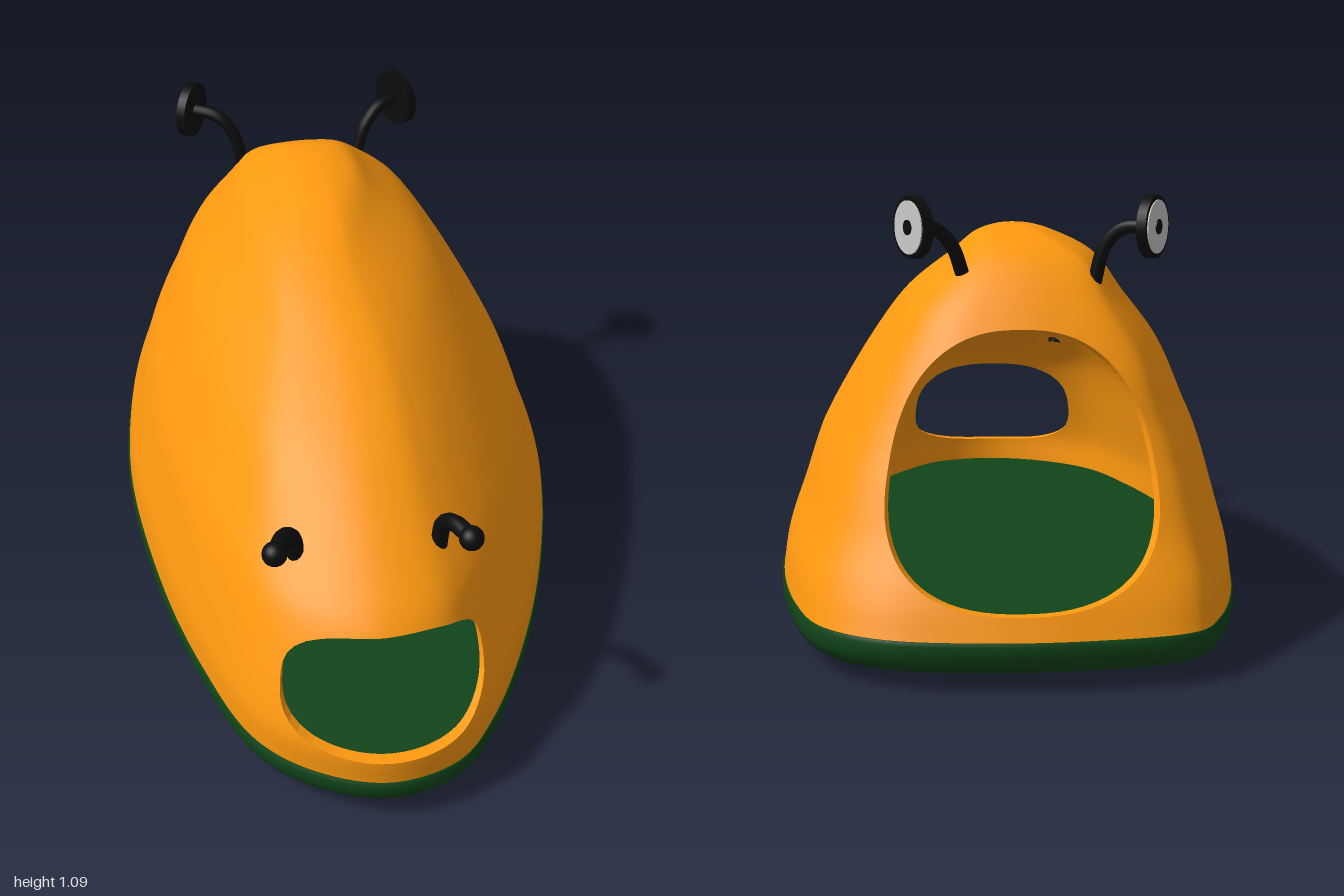
import * as THREE from 'three';
import { mergeVertices } from 'three/addons/utils/BufferGeometryUtils.js';

const V = (x, y, z) => new THREE.Vector3(x, y, z);
const mat = (color, side = THREE.FrontSide) => new THREE.MeshStandardMaterial({ color, side });

// Footprint outline (x, z), heel at -x -z, toe at +x +z
const footprint = new THREE.CatmullRomCurve3([
  [-1, -0.06], [-0.93, -0.32], [-0.8, -0.56], [-0.66, -0.72], [-0.5, -0.78], [-0.29, -0.74],
  [0.03, -0.61], [0.3, -0.45], [0.57, -0.21], [0.78, 0.03], [0.94, 0.27], [1, 0.43],
  [0.96, 0.6], [0.83, 0.72], [0.65, 0.78], [0.35, 0.74], [0.03, 0.65], [-0.4, 0.47],
  [-0.72, 0.26], [-0.93, 0.06],
].map(([x, z]) => V(x, 0, z)), true);

// Dome levels: height, section scale, section centre x and z
const levels = [
  [0.115, 0.992, 0, 0], [0.2, 0.973, 0.015, 0.012], [0.32, 0.912, 0.022, 0.024],
  [0.46, 0.837, 0.018, 0.028], [0.56, 0.757, -0.01, 0.02], [0.7, 0.632, -0.07, 0],
  [0.83, 0.47, -0.14, -0.037], [0.93, 0.303, -0.215, -0.053], [0.98, 0.17, -0.24, -0.085],
  [0.995, 0.085, -0.255, -0.095], [1, 0, -0.26, -0.1],
];
const profile = new THREE.CatmullRomCurve3(levels.map(([y, s]) => V(s, y, 0)));
const centre = new THREE.CatmullRomCurve3(levels.map(([, , x, z]) => V(x, 0, z)));

function domePoint(u, v, inset) {
  const f = footprint.getPoint(u), p = profile.getPoint(v), c = centre.getPoint(v);
  const s = p.x * (1 - inset * 1.2);
  return V(c.x + f.x * s, p.y - inset * v * v, c.z + f.z * s);
}

// Openings, measured across the long axis: negative inside a hole
function outsideHoles(p) {
  const along = 0.85 * p.x + 0.52 * p.z, across = -0.52 * p.x + 0.85 * p.z;
  if (along > 0) {
    const h = (p.y - 0.315) / 0.135, w = (across - 0.017) / (0.245 * (1 - 0.06 * h));
    return Math.abs(w) ** 2.8 + Math.abs(h) ** 2.8 - 1;
  }
  const h = (p.y - 0.475) / 0.305, w = (across - 0.065) / (0.31 * (1 - 0.16 * h));
  return Math.abs(w) ** 2.5 + Math.abs(h) ** 2.5 - 1;
}

function toGeometry(points) {
  const g = mergeVertices(new THREE.BufferGeometry().setFromPoints(points), 1e-5);
  g.computeVertexNormals();
  return g;
}

// Double-walled dome, its grid clipped along the openings
function buildShell() {
  const NU = 180, NV = 70, T = 0.025;
  const outer = [], inner = [], rim = [];
  const grid = [];
  for (let j = 0; j <= NV; j++) {
    for (let i = 0; i <= NU; i++) {
      const u = i / NU, v = j / NV;
      grid.push({ u, v, f: outsideHoles(domePoint(u, v, 0)) });
    }
  }
  const at = (q, inset) => domePoint(q.u, q.v, inset);
  const cut = (a, b) => {
    const t = a.f / (a.f - b.f);
    return { u: a.u + (b.u - a.u) * t, v: a.v + (b.v - a.v) * t, f: 0 };
  };
  const addTriangle = (tri) => {
    const poly = [], edge = [];
    tri.forEach((a, k) => {
      const b = tri[(k + 1) % 3];
      if (a.f >= 0) poly.push(a);
      if ((a.f >= 0) !== (b.f >= 0)) {
        const c = cut(a, b);
        poly.push(c);
        edge.push(c);
      }
    });
    for (let k = 1; k + 1 < poly.length; k++) {
      const [a, b, c] = [poly[0], poly[k], poly[k + 1]];
      outer.push(at(a, 0), at(b, 0), at(c, 0));
      inner.push(at(a, T), at(c, T), at(b, T));
    }
    if (edge.length === 2) {
      const [a, b] = edge;
      rim.push(at(a, 0), at(b, 0), at(b, T), at(a, 0), at(b, T), at(a, T));
    }
  };
  for (let j = 0; j < NV; j++) {
    for (let i = 0; i < NU; i++) {
      const a = grid[j * (NU + 1) + i], b = grid[j * (NU + 1) + i + 1];
      const c = grid[(j + 1) * (NU + 1) + i + 1], d = grid[(j + 1) * (NU + 1) + i];
      addTriangle([a, c, b]);
      addTriangle([a, d, c]);
    }
  }
  const rimGeometry = new THREE.BufferGeometry().setFromPoints(rim);
  rimGeometry.computeVertexNormals();
  return { outer: toGeometry(outer), inner: toGeometry(inner), rim: rimGeometry };
}

// Loft of scaled footprints, [height, scale] from the bottom up
function loftFootprint(rings) {
  const N = 120, pts = [];
  const at = (i, [y, s]) => {
    const f = footprint.getPoint(i / N);
    return V(f.x * s, y, f.z * s);
  };
  for (let j = 0; j + 1 < rings.length; j++) {
    for (let i = 0; i < N; i++) {
      const a = at(i, rings[j]), b = at(i + 1, rings[j]);
      const c = at(i + 1, rings[j + 1]), d = at(i, rings[j + 1]);
      pts.push(a, c, b, a, d, c);
    }
  }
  return toGeometry(pts);
}

export function createModel() {
  const model = new THREE.Group();
  const orange = mat(0xff9910), green = mat(0x11451a), black = mat(0x0c0c0c), grey = mat(0xcccccc);
  const add = (parent, name, geometry, material) => {
    const m = new THREE.Mesh(geometry, material);
    m.name = name;
    parent.add(m);
    return m;
  };

  // Dome
  const shell = buildShell();
  add(model, 'outerShell', shell.outer, orange);
  add(model, 'innerShell', shell.inner, orange);
  add(model, 'openingRims', shell.rim, mat(0xff9910, THREE.DoubleSide));

  // Sole with rounded underside, and the flat floor inside
  add(model, 'sole', loftFootprint([[0, 0], [0.004, 0.5], [0.01, 0.8], [0.02, 0.89], [0.035, 0.95],
    [0.055, 0.985], [0.08, 1], [0.108, 1], [0.117, 0.995]]), green);
  add(model, 'floor', loftFootprint([[0.117, 0.995], [0.117, 0]]), green);

  // Curved stalk through a few points
  const stalk = (parent, points, radius) => add(parent, 'stalk',
    new THREE.TubeGeometry(new THREE.CatmullRomCurve3(points.map((p) => V(...p))), 24, radius, 12), black);

  // Ball-tipped feelers above the toe
  [
    [[0.73, 0.54, 0.29], [0.745, 0.615, 0.29], [0.79, 0.65, 0.295], [0.86, 0.655, 0.302]],
    [[0.56, 0.54, 0.585], [0.567, 0.61, 0.6], [0.588, 0.648, 0.64], [0.63, 0.655, 0.695]],
  ].forEach((path) => {
    const feeler = new THREE.Group();
    feeler.name = 'toeFeeler';
    stalk(feeler, path, 0.021);
    add(feeler, 'ballTip', new THREE.SphereGeometry(0.03, 20, 14), black).position.set(...path[3]);
    model.add(feeler);
  });

  // Disc-tipped feelers above the heel
  [
    [[-0.39, 0.9, -0.325], [-0.39, 0.965, -0.352], [-0.39, 1.01, -0.4], [-0.39, 1.017, -0.46]],
    [[-0.55, 0.87, -0.05], [-0.572, 0.965, -0.035], [-0.61, 1.01, -0.01], [-0.675, 1.017, 0.03]],
  ].forEach((path) => {
    const feeler = new THREE.Group();
    feeler.name = 'heelFeeler';
    stalk(feeler, path, 0.017);
    const disc = new THREE.Group();
    disc.name = 'disc';
    const dir = V(...path[3]).sub(V(...path[2])).setY(0).normalize();
    disc.quaternion.setFromUnitVectors(V(0, 1, 0), dir);
    disc.position.set(...path[3]);
    add(disc, 'discRim', new THREE.CylinderGeometry(0.075, 0.075, 0.024, 32), black);
    add(disc, 'discFace', new THREE.CylinderGeometry(0.064, 0.064, 0.004, 32), grey).position.y = 0.013;
    add(disc, 'discDot', new THREE.CylinderGeometry(0.018, 0.018, 0.004, 20), black).position.y = 0.016;
    feeler.add(disc);
    model.add(feeler);
  });
  return model;
}
